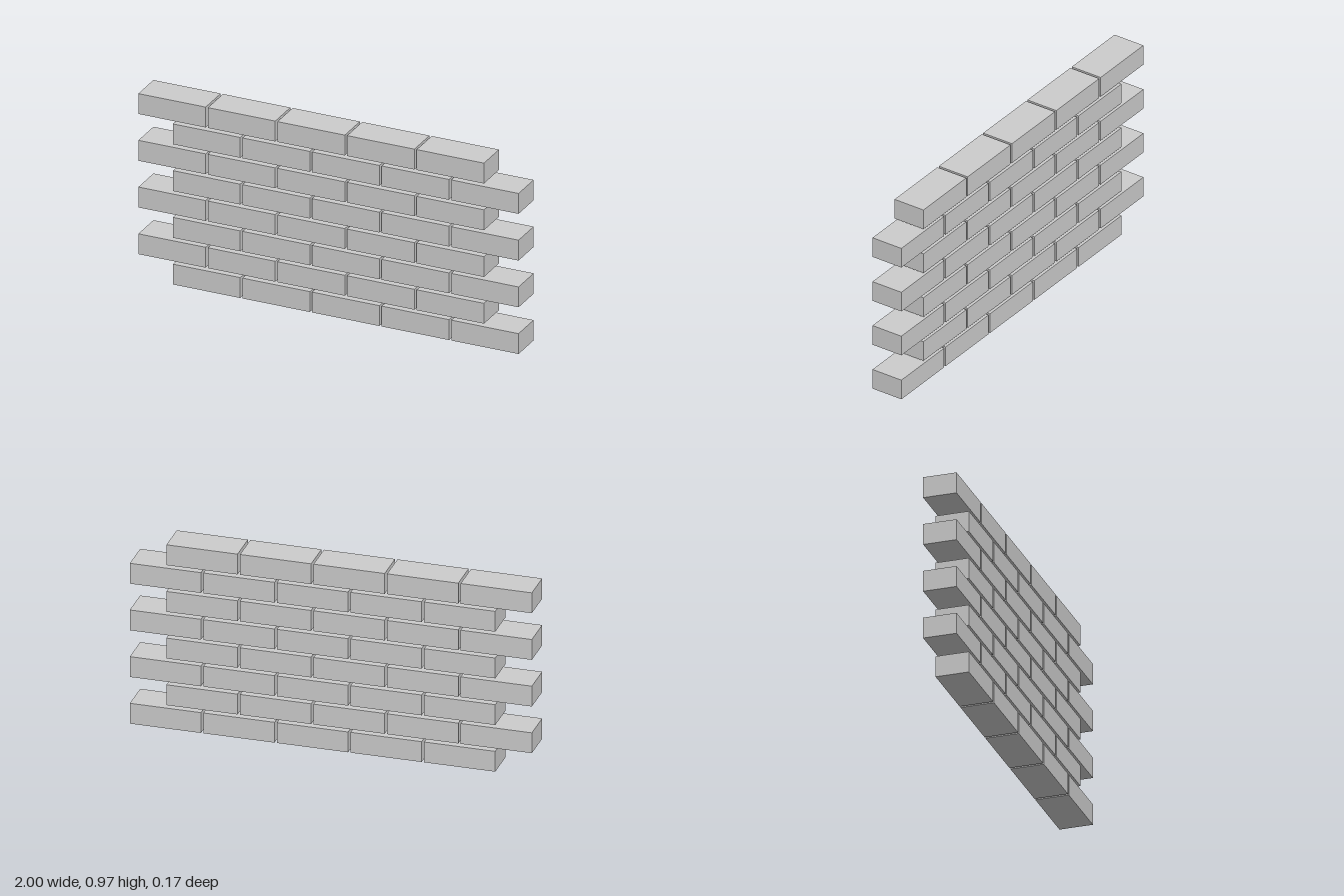
import * as THREE from 'three';

const ROWS = 8, PER_ROW = 5;
const LENGTH = 0.354, HEIGHT = 0.107, DEPTH = 0.168;
const PITCH_X = 0.366, PITCH_Y = 0.1228;

export function createModel() {
  const wall = new THREE.Group();
  wall.name = 'brickWall';
  const material = new THREE.MeshStandardMaterial({ color: 0xcccccc });
  const brickShape = new THREE.BoxGeometry(LENGTH, HEIGHT, DEPTH);
  const rowLength = (PER_ROW - 1) * PITCH_X + LENGTH;

  // Running bond: courses alternate flush with the left and right ends, open joints between
  for (let r = 0; r < ROWS; r++) {
    const course = new THREE.Group();
    course.name = `course${r + 1}`;
    const startX = r % 2 === 0 ? 1 - rowLength : -1;
    course.position.set(startX + LENGTH / 2, r * PITCH_Y + HEIGHT / 2, 0);
    for (let i = 0; i < PER_ROW; i++) {
      const brick = new THREE.Mesh(brickShape, material);
      brick.name = `brick${i + 1}`;
      brick.position.x = i * PITCH_X;
      course.add(brick);
    }
    wall.add(course);
  }
  return wall;
}
